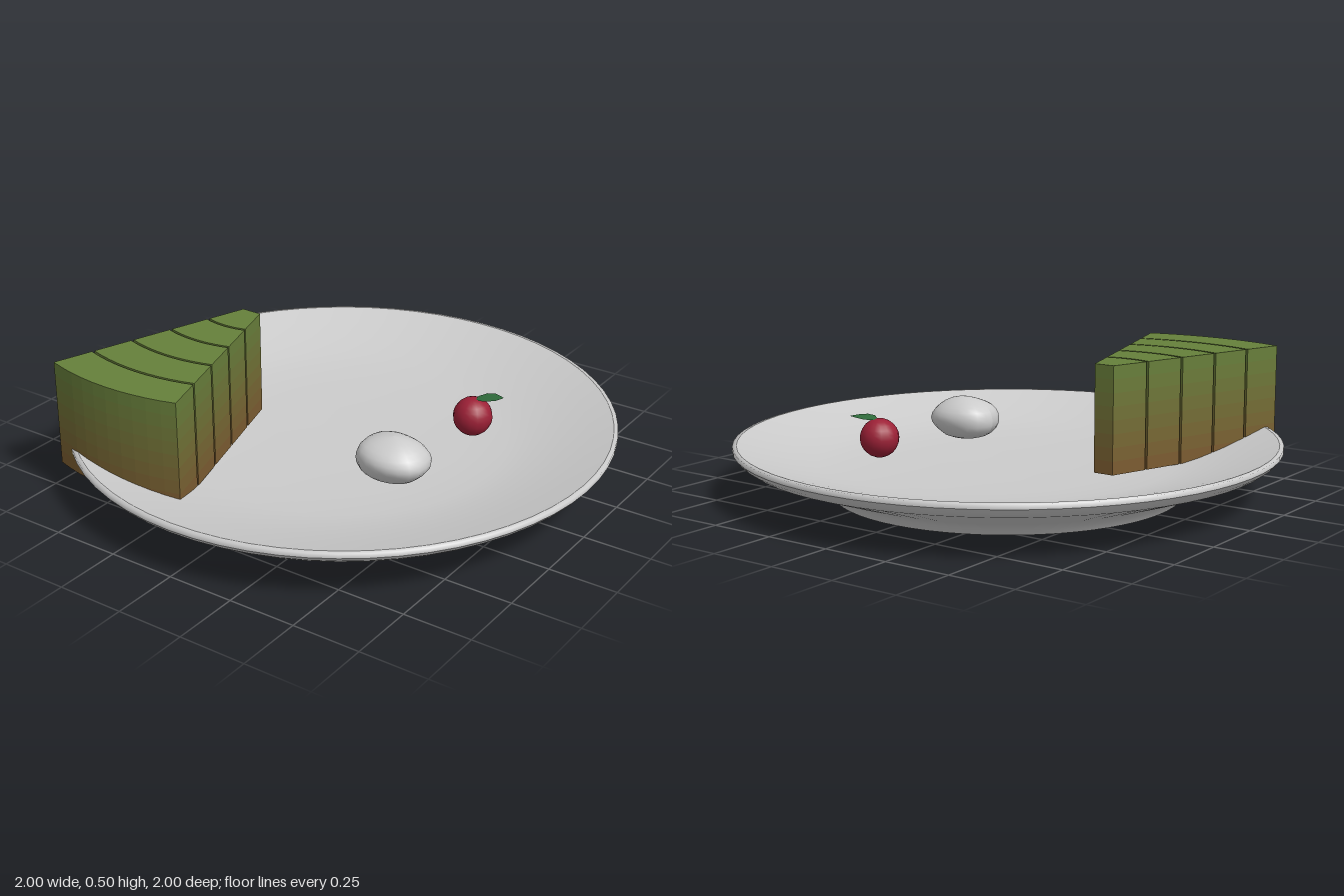
import * as THREE from 'three';
import { mergeGeometries } from 'three/addons/utils/BufferGeometryUtils.js';

const V2 = (x, y) => new THREE.Vector2(x, y);
const rad = THREE.MathUtils.degToRad;

function part(name, geometry, color = 0xcccccc, side = THREE.FrontSide) {
  const mesh = new THREE.Mesh(geometry, new THREE.MeshStandardMaterial({ color, side }));
  mesh.name = name;
  return mesh;
}

// Lathe each run of the profile separately so that edges between runs stay sharp
function latheRuns(runs) {
  return mergeGeometries(runs.map((run) =>
    new THREE.LatheGeometry(run.map(([r, y]) => V2(r, y)), 64)));
}

// Plate: flat foot, flared underside, thin rim and a shallow dish
function buildPlate() {
  return part('plate', latheRuns([
    [[0, 0], [0.645, 0]],
    [[0.645, 0], [0.663, 0.026], [0.695, 0.05], [0.96, 0.142], [0.985, 0.16], [1, 0.178]],
    [[1, 0.178], [1, 0.195], [0.985, 0.197]],
    [[0.985, 0.197], [0.9, 0.171], [0.8, 0.143], [0.7, 0.12], [0.6, 0.104],
      [0.45, 0.095], [0.25, 0.09], [0, 0.088]],
  ]));
}

// Outline of one curved piece of the wedge, seen from above, as (x, z) points
function wedgeOutline(r0, r1) {
  const a0 = rad(-18.5), a1 = rad(16.7), n = 10, points = [];
  const at = (r, a) => V2(-0.404 + r * Math.sin(a), -0.11 + r * Math.cos(a));
  for (let i = 0; i <= n; i++) points.push(at(r1, a0 + (a1 - a0) * i / n));
  const m = r0 < 0.2 ? 1 : n;
  for (let i = 0; i <= m; i++) points.push(at(r0, a1 + (a0 - a1) * i / m));
  return points;
}

// Upright wall around an outline between two heights
function wall(outline, y0, y1) {
  const pos = [];
  outline.forEach((p, i) => {
    const q = outline[(i + 1) % outline.length];
    pos.push(p.x, y0, p.y, q.x, y0, q.y, q.x, y1, q.y);
    pos.push(p.x, y0, p.y, q.x, y1, q.y, p.x, y1, p.y);
  });
  const g = new THREE.BufferGeometry();
  g.setAttribute('position', new THREE.Float32BufferAttribute(pos, 3));
  g.computeVertexNormals();
  return g;
}

// Cake: five pieces with narrow gaps, shading from green down to brown
function buildCake() {
  const cake = new THREE.Group();
  cake.name = 'cakeSlice';
  const bottom = 0.11, top = 0.503, bands = 8, gap = 0.005;
  const green = new THREE.Color(0x66803b), brown = new THREE.Color(0x7d5930);
  const cuts = [0.13, 0.285, 0.446, 0.606, 0.765, 0.92];
  const outlines = cuts.slice(1).map((r, i) =>
    wedgeOutline(cuts[i] + (i > 0 ? gap : 0), r - (i < 4 ? gap : 0)));

  for (let b = 0; b < bands; b++) {
    const y = (k) => bottom + (top - bottom) * k / bands;
    const color = brown.clone().lerp(green, (b + 0.5) / bands);
    cake.add(part('cakeSide', mergeGeometries(outlines.map((o) => wall(o, y(b), y(b + 1)))), color));
  }
  const tops = outlines.map((o) =>
    new THREE.ShapeGeometry(new THREE.Shape(o.map((p) => V2(p.x, -p.y)))).rotateX(-Math.PI / 2));
  const bases = outlines.map((o) =>
    new THREE.ShapeGeometry(new THREE.Shape(o)).rotateX(Math.PI / 2));
  cake.add(part('cakeTop', mergeGeometries(tops).translate(0, top, 0), green));
  cake.add(part('cakeBase', mergeGeometries(bases).translate(0, bottom, 0), brown));
  return cake;
}

// Dollop of cream: a flattened ball with gentle lumps
function buildCream() {
  const g = new THREE.SphereGeometry(1, 20, 14);
  const p = g.attributes.position;
  for (let i = 0; i < p.count; i++) {
    const x = p.getX(i), y = p.getY(i), z = p.getZ(i);
    const k = 1 + 0.035 * Math.sin(3 * x + 1) * Math.cos(4 * z) + 0.02 * Math.sin(5 * y + 2 * x);
    p.setXYZ(i, x * k * 0.138, Math.max(y, -0.85) * k * 0.083, z * k * 0.116);
  }
  g.computeVertexNormals();
  const cream = part('cream', g);
  cream.position.set(0.347, 0.197, 0.197);
  return cream;
}

// Cherry with a single leaf lying on top
function buildCherry() {
  const group = new THREE.Group();
  group.name = 'cherryWithLeaf';
  const cherry = part('cherry', new THREE.SphereGeometry(0.073, 16, 12), 0x9c2036);
  cherry.position.set(0.4, 0.188, -0.255);
  const outline = [[0.405, 0.285], [0.425, 0.315], [0.455, 0.32], [0.498, 0.308],
    [0.488, 0.27], [0.465, 0.243], [0.435, 0.237], [0.41, 0.255]];
  const g = new THREE.ShapeGeometry(new THREE.Shape(outline.map(([x, y]) => V2(x, y))));
  g.rotateX(-Math.PI / 2);
  const p = g.attributes.position;
  for (let i = 0; i < p.count; i++) {
    p.setY(i, 0.258 + 0.011 * Math.sin((p.getX(i) - 0.405) / 0.093 * 2.2));
  }
  g.computeVertexNormals();
  group.add(cherry, part('leaf', g, 0x2f6b3b, THREE.DoubleSide));
  return group;
}

export function createModel() {
  const model = new THREE.Group();
  model.name = 'dessertPlate';
  model.add(buildPlate(), buildCake(), buildCream(), buildCherry());
  return model;
}
